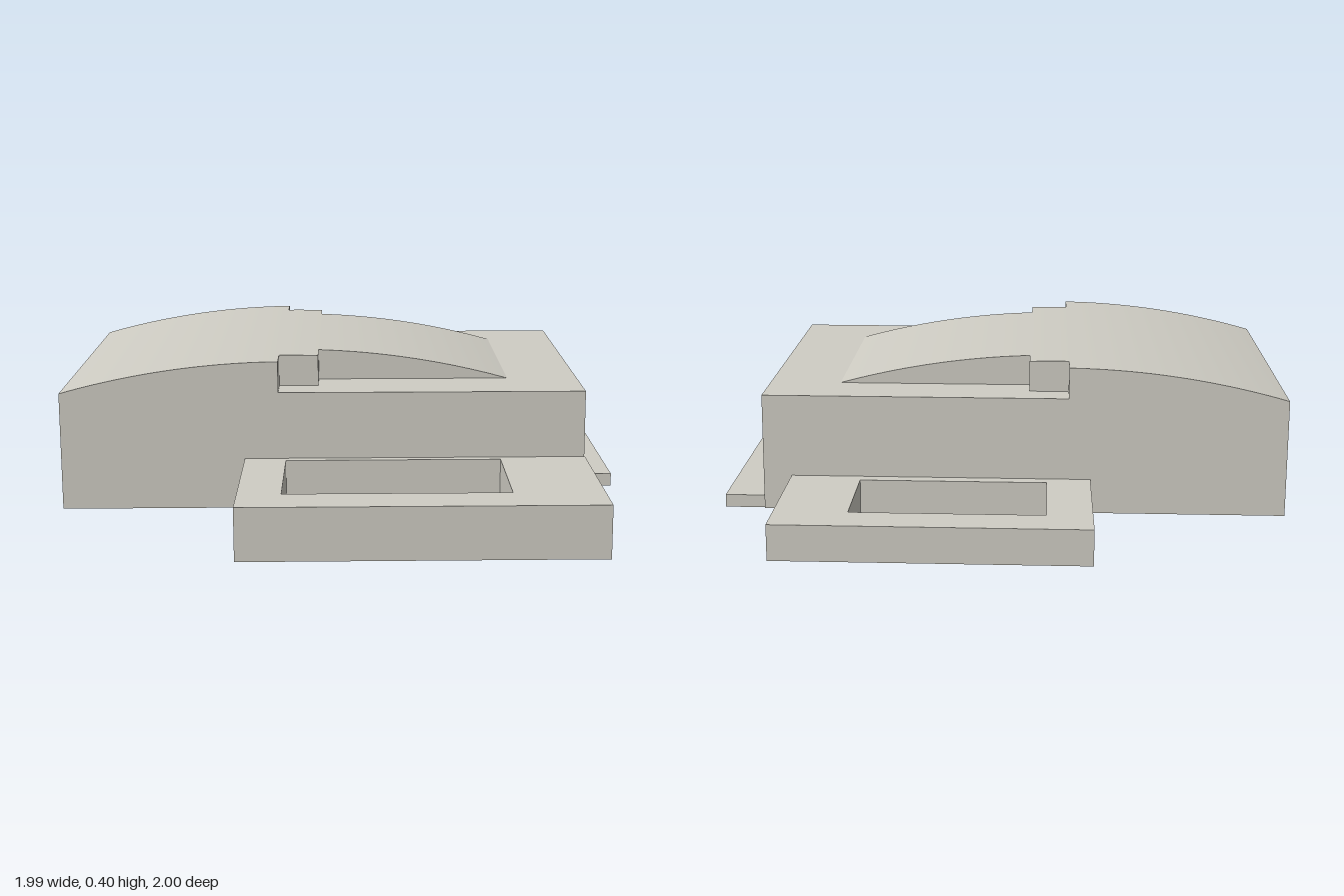
import * as THREE from 'three';
import { toCreasedNormals } from 'three/addons/utils/BufferGeometryUtils.js';

const BODY_TOP = 0.32;
const BACK = -0.888;

// Rectangle outline in plan: x0..x1 by z0..z1
function rect(Type, [x0, x1, z0, z1]) {
  return new Type([[x0, z0], [x1, z0], [x1, z1], [x0, z1]].map(([x, z]) => new THREE.Vector2(x, z)));
}

// Flat slab standing on y = 0, with an optional rectangular window
function slab(outline, height, hole) {
  const shape = rect(THREE.Shape, outline);
  if (hole) shape.holes.push(rect(THREE.Path, hole));
  const geo = new THREE.ExtrudeGeometry(shape, { depth: height, bevelEnabled: false });
  return geo.rotateX(Math.PI / 2).translate(0, height, 0);
}

// Height of the shallow cylindrical crown at a given z
function crownHeight(z) {
  const mid = -0.2765, half = 0.6115, rise = 0.085;
  const radius = (half * half + rise * rise) / (2 * rise);
  return BODY_TOP + rise - radius + Math.sqrt(radius * radius - (z - mid) ** 2);
}

// One width of the crown, from z0 to z1
function crownStrip(x0, x1, z0, z1) {
  const steps = 24;
  const shape = new THREE.Shape();
  shape.moveTo(z0, BODY_TOP);
  shape.lineTo(z1, BODY_TOP);
  for (let i = 0; i <= steps; i++) {
    const z = z1 + (z0 - z1) * i / steps;
    shape.lineTo(z, Math.max(BODY_TOP, crownHeight(z)));
  }
  const geo = new THREE.ExtrudeGeometry(shape, { depth: x1 - x0, bevelEnabled: false });
  return toCreasedNormals(geo.rotateY(-Math.PI / 2).translate(x1, 0, 0), 0.1);
}

export function createModel() {
  const model = new THREE.Group();
  model.name = 'latchBlock';
  const grey = new THREE.MeshStandardMaterial({ color: 0xcfcdc4 });
  grey.name = 'warm grey';

  const add = (name, geometry) => {
    const mesh = new THREE.Mesh(geometry, grey);
    mesh.name = name;
    model.add(mesh);
  };

  // Main block and the thin lip along its front foot
  add('body', slab([-0.478, 0.478, BACK, 0.531], BODY_TOP));
  add('frontLip', slab([-0.277, 0.472, 0.531, 0.64], 0.035));

  // Side loops with rectangular windows
  add('rightLoop', slab([-0.953, -0.478, -0.392, 0.533], 0.138, [-0.834, -0.502, -0.28, 0.3]));
  add('leftLoop', slab([0.478, 0.899, -0.361, 0.454], 0.095, [0.513, 0.79, -0.243, 0.262]));

  // Curved crown, narrowing in two steps towards the front
  add('crownBack', crownStrip(-0.478, 0.478, BACK, -0.3));
  add('crownStep', crownStrip(-0.385, 0.397, -0.3, -0.193));
  add('crownFront', crownStrip(-0.296, 0.323, -0.193, 0.335));

  // The whole block sits turned on the ground
  model.rotation.y = 0.6465;
  return model;
}
